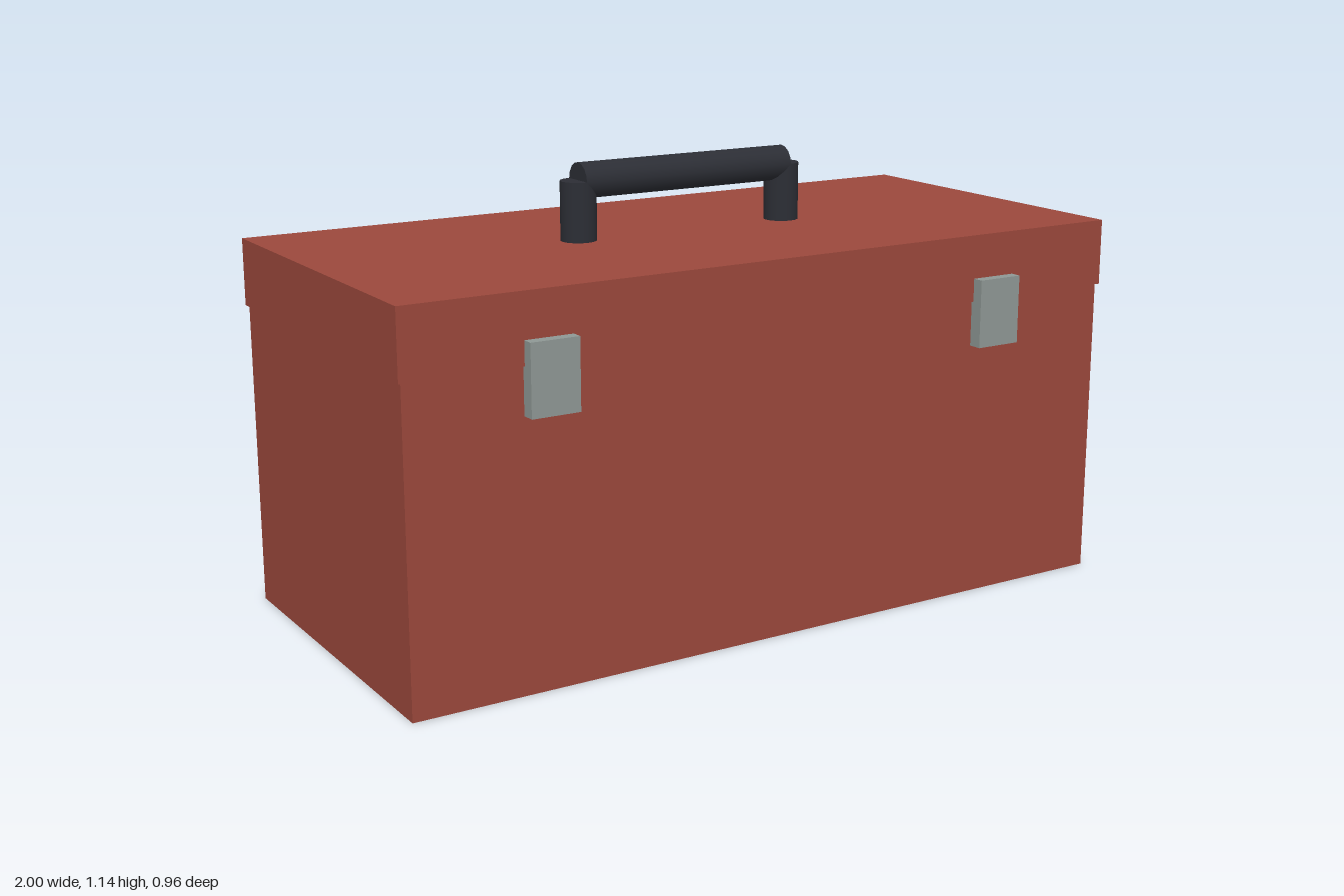
import * as THREE from 'three';

export function createModel() {
  const model = new THREE.Group();
  model.name = 'toolbox';

  const material = (name, color) => {
    const m = new THREE.MeshStandardMaterial({ color });
    m.name = name;
    return m;
  };
  const red = material('red paint', 0x9b483c);
  const steel = material('grey steel', 0x8f9895);
  const black = material('black grip', 0x2c2e35);

  const add = (name, geometry, mat, x, y, z) => {
    const mesh = new THREE.Mesh(geometry, mat);
    mesh.name = name;
    mesh.position.set(x, y, z);
    model.add(mesh);
    return mesh;
  };

  const midZ = -0.015; // box centre, offset by the latches in front

  // Box body and slightly overhanging lid
  add('body', new THREE.BoxGeometry(1.984, 0.78, 0.921), red, 0, 0.39, midZ);
  add('lid', new THREE.BoxGeometry(2, 0.17, 0.932), red, 0, 0.865, midZ + 0.001);

  // Latches and handle posts, one on each side
  const gripRadius = 0.0455;
  for (const [side, s] of [['left', 1], ['right', -1]]) {
    add(`${side}Latch`, new THREE.BoxGeometry(0.124, 0.174, 0.04), steel, s * 0.636, 0.752, 0.461);
    add(`${side}HandlePost`, new THREE.CylinderGeometry(gripRadius, gripRadius, 0.15, 16),
      black, s * 0.302, 1.024, midZ);
  }

  // Handle bar across the posts
  const bar = add('handleBar', new THREE.CylinderGeometry(gripRadius, gripRadius, 0.604, 16),
    black, 0, 1.098, midZ);
  bar.rotation.z = Math.PI / 2;

  return model;
}
